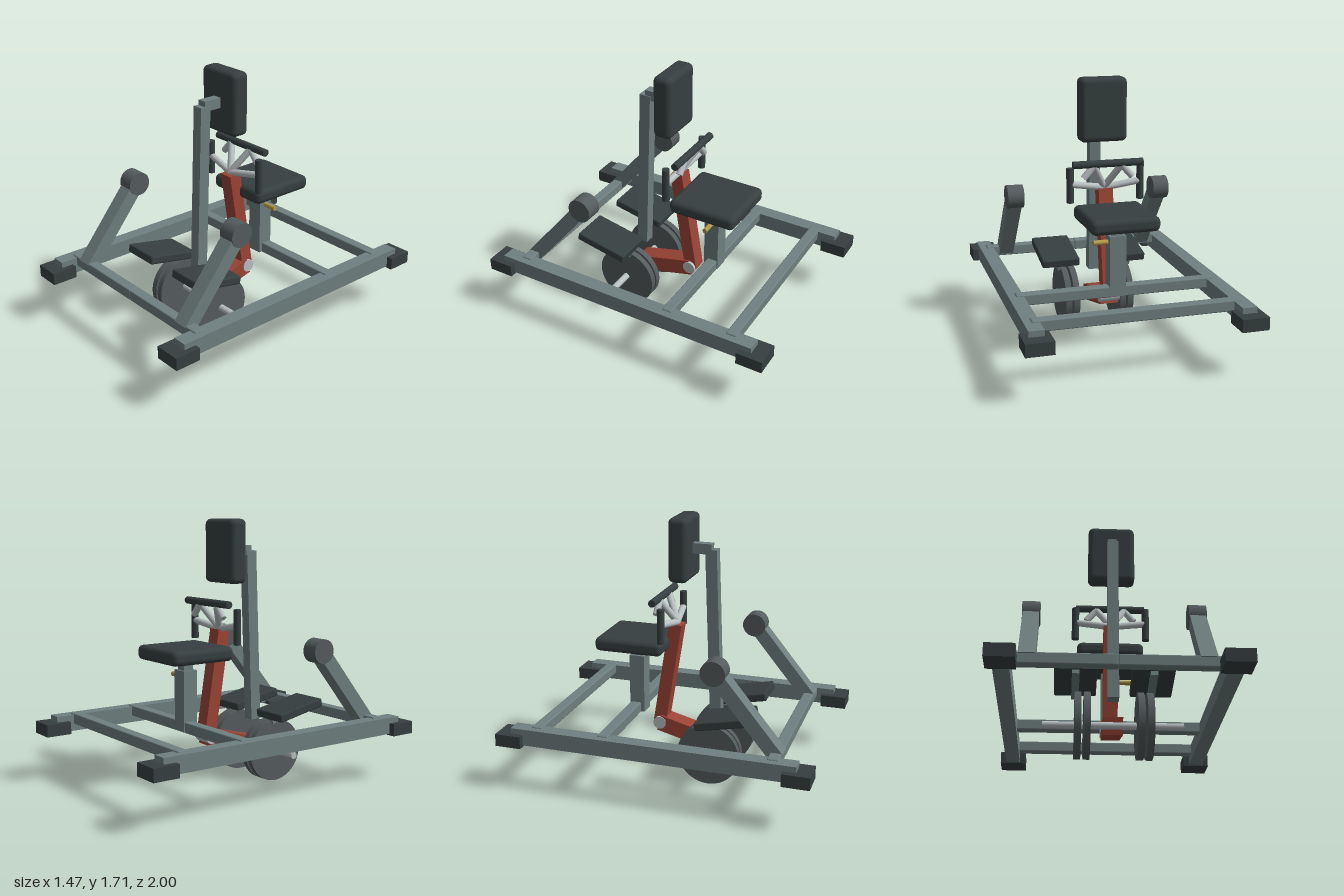
import * as THREE from 'three';
import { RoundedBoxGeometry } from 'three/addons/geometries/RoundedBoxGeometry.js';

const mat = (color) => new THREE.MeshStandardMaterial({ color });
const V = (x, y, z) => new THREE.Vector3(x, y, z);

export function createModel() {
  const root = new THREE.Group();
  const frame = mat(0x6f7f7f), pad = mat(0x363f40), red = mat(0x9c4436);
  const steel = mat(0xb9c0c2), iron = mat(0x555c5e), brass = mat(0xb59a4a);

  const add = (name, geometry, material, x = 0, y = 0, z = 0) => {
    const m = new THREE.Mesh(geometry, material);
    m.name = name;
    m.position.set(x, y, z);
    root.add(m);
    return m;
  };
  // Box given by its extents on each axis
  const box = (name, material, x0, x1, y0, y1, z0, z1, r = 0) => add(name,
    r ? new RoundedBoxGeometry(x1 - x0, y1 - y0, z1 - z0, 3, r)
      : new THREE.BoxGeometry(x1 - x0, y1 - y0, z1 - z0),
    material, (x0 + x1) / 2, (y0 + y1) / 2, (z0 + z1) / 2);
  // Rectangular beam between two points
  const beam = (name, material, a, b, w, h) => {
    const c = a.clone().add(b).multiplyScalar(0.5);
    add(name, new THREE.BoxGeometry(w, h, a.distanceTo(b)), material, c.x, c.y, c.z).lookAt(b);
  };
  // Round bar between two points
  const rod = (name, material, a, b, r, sides = 24) => {
    const c = a.clone().add(b).multiplyScalar(0.5);
    const m = add(name, new THREE.CylinderGeometry(r, r, a.distanceTo(b), sides), material, c.x, c.y, c.z);
    m.quaternion.setFromUnitVectors(V(0, 1, 0), b.clone().sub(a).normalize());
  };

  // Base frame
  for (const z of [-0.753, -0.31]) {
    box('crossBar', frame, -0.648, 0.648, 0.365, 0.435, z - 0.035, z + 0.035, 0.008);
  }
  for (const s of [-1, 1]) {
    const x = s * 0.647;
    box('sideRail', frame, x - 0.047, x + 0.047, 0.32, 0.427, -0.91, 0.91);
    for (const z of [-0.915, 0.915]) {
      box('foot', pad, x - 0.086, x + 0.086, 0.31, 0.39, z - 0.085, z + 0.085);
    }
    box('frontBarHalf', frame, Math.min(0, s * 0.648), Math.max(0, s * 0.648),
      0.365, 0.435, 0.725, 0.795, 0.008);

    // Slanted support with a round head
    beam('supportArm', frame, V(s * 0.51, 0.4, 0.765), V(s * 0.51, 0.885, 0.367), 0.1, 0.09);
    rod('supportHead', iron, V(s * 0.455, 0.885, 0.367), V(s * 0.565, 0.885, 0.367), 0.078, 32);

    // Foot plate and its bracket
    const plate = new THREE.Group();
    plate.name = 'footPlate';
    plate.position.set(s * 0.232, 0.475, 0.366);
    plate.rotation.x = -0.2;
    const top = new THREE.Mesh(new RoundedBoxGeometry(0.256, 0.055, 0.358, 2, 0.01), pad);
    top.name = 'footPlatePad';
    const bracket = new THREE.Mesh(new THREE.BoxGeometry(0.045, 0.03, 0.28), frame);
    bracket.name = 'footPlateBracket';
    bracket.position.set(0, -0.04, -0.03);
    plate.add(top, bracket);
    root.add(plate);

    // Weight discs
    for (const d of [0.16, 0.215]) {
      rod('weightDisc', iron, V(s * (d - 0.02), 0.206, 0.247), V(s * (d + 0.02), 0.206, 0.247), 0.203, 48);
    }

    // Handle tubes and upright grip
    rod('lowerHandleTube', steel, V(0, 1.005, -0.035), V(s * 0.225, 1.045, -0.067), 0.022);
    rod('upperHandleTube', steel, V(0, 1.01, -0.035), V(s * 0.09, 1.165, -0.122), 0.022);
    rod('handleLink', steel, V(s * 0.09, 1.17, -0.122), V(s * 0.16, 1.09, -0.122), 0.022);
    rod('uprightGrip', pad, V(s * 0.233, 0.925, -0.067), V(s * 0.233, 1.15, -0.067), 0.024);
  }
  rod('crossGrip', pad, V(-0.23, 1.18, -0.127), V(0.23, 1.18, -0.127), 0.024);

  // Pivoting lever with its weight axle
  beam('leverUpright', red, V(0, 0.3, -0.146), V(0, 1.0, -0.033), 0.095, 0.085);
  beam('leverFoot', red, V(0, 0.308, -0.145), V(0, 0.207, 0.245), 0.12, 0.108);
  rod('leverPivot', steel, V(-0.066, 0.31, -0.14), V(0.066, 0.31, -0.14), 0.043, 32);
  rod('weightAxle', steel, V(-0.425, 0.207, 0.247), V(0.425, 0.207, 0.247), 0.022);

  // Mast with chest pad
  beam('mast', frame, V(0, 0.38, 0.24), V(0, 1.503, 0.198), 0.072, 0.075);
  box('padBracket', frame, -0.03, 0.03, 1.472, 1.538, 0.05, 0.2);
  box('chestPad', pad, -0.155, 0.155, 1.3, 1.71, -0.05, 0.075, 0.035);

  // Seat on an adjustable post
  box('seatPost', frame, -0.053, 0.053, 0.37, 0.762, -0.35, -0.25);
  box('seatStem', frame, -0.035, 0.035, 0.7, 0.84, -0.335, -0.268);
  box('seat', pad, -0.22, 0.22, 0.823, 0.917, -0.53, -0.075, 0.035);
  rod('adjustPin', brass, V(0, 0.717, -0.3), V(0.147, 0.717, -0.3), 0.016, 16);

  return root;
}
